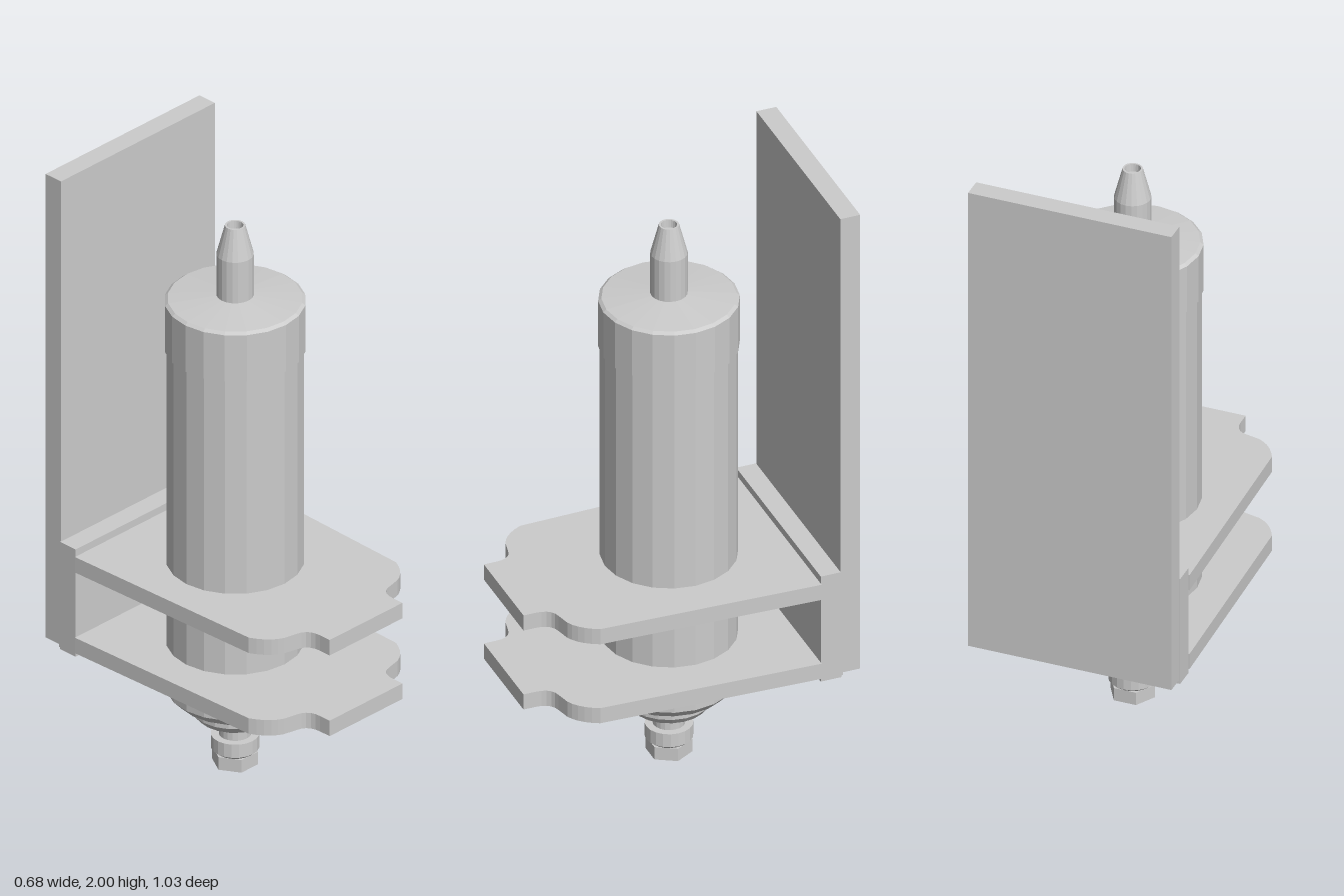
import * as THREE from 'three';

const material = new THREE.MeshStandardMaterial({ color: 0xcccccc, flatShading: true });

function add(parent, name, geometry, x = 0, y = 0, z = 0) {
  const mesh = new THREE.Mesh(geometry, material);
  mesh.name = name;
  mesh.position.set(x, y, z);
  parent.add(mesh);
  return mesh;
}

// Profile of [radius, height] pairs, listed from bottom to top
const lathe = (profile, sides = 20) =>
  new THREE.LatheGeometry(profile.map(([r, y]) => new THREE.Vector2(r, y)), sides);

// Tapered shelf with rounded shoulders and a narrow front tab
function shelfGeometry(thickness) {
  const s = new THREE.Shape();
  s.moveTo(-0.34, -0.385);
  s.lineTo(0.34, -0.385);
  s.lineTo(0.318, 0.33);
  s.quadraticCurveTo(0.29, 0.39, 0.245, 0.408);
  s.lineTo(0.2, 0.418);
  s.quadraticCurveTo(0.157, 0.425, 0.157, 0.475);
  s.lineTo(0.157, 0.515);
  s.lineTo(-0.157, 0.515);
  s.lineTo(-0.157, 0.475);
  s.quadraticCurveTo(-0.157, 0.425, -0.2, 0.418);
  s.lineTo(-0.245, 0.408);
  s.quadraticCurveTo(-0.29, 0.39, -0.318, 0.33);
  s.closePath();
  const g = new THREE.ExtrudeGeometry(s, { depth: thickness, bevelEnabled: false, curveSegments: 5 });
  return g.rotateX(Math.PI / 2);
}

export function createModel() {
  const model = new THREE.Group();
  model.name = 'bracketedCartridge';

  // Wall plate, mounting block and two shelves
  const bracket = new THREE.Group();
  bracket.name = 'bracket';
  model.add(bracket);
  add(bracket, 'backPlate', new THREE.BoxGeometry(0.664, 1.62, 0.065), -0.002, 1.19, -0.4825);
  add(bracket, 'mountingBlock', new THREE.BoxGeometry(0.67, 0.375, 0.067), -0.002, 0.5535, -0.4185);
  add(bracket, 'mountingFoot', new THREE.BoxGeometry(0.664, 0.03, 0.02), -0.002, 0.385, -0.449);
  const shelf = shelfGeometry(0.054);
  add(bracket, 'upperShelf', shelf, 0, 0.716, 0);
  add(bracket, 'lowerShelf', shelf, 0, 0.434, 0);

  // Cartridge standing through the shelves
  const cartridge = new THREE.Group();
  cartridge.name = 'cartridge';
  cartridge.position.set(-0.01, 0, -0.03);
  model.add(cartridge);
  add(cartridge, 'barrel', lathe([
    [0, 0.232], [0.165, 0.232], [0.182, 0.242], [0.21, 0.272], [0.21, 1.46],
  ]));
  add(cartridge, 'topCap', lathe([
    [0.2, 1.46], [0.215, 1.46], [0.215, 1.622], [0.205, 1.63], [0.05, 1.644], [0, 1.644],
  ]));
  add(cartridge, 'nozzle', lathe([
    [0.057, 1.64], [0.057, 1.785], [0.031, 1.885], [0.025, 1.885], [0.023, 1.86], [0, 1.86],
  ]));
  add(cartridge, 'bottomCollar', lathe([
    [0, 0.177], [0.118, 0.177], [0.136, 0.2], [0.136, 0.225], [0.12, 0.24],
  ]));
  add(cartridge, 'stem', new THREE.CylinderGeometry(0.05, 0.05, 0.1, 20), 0, 0.135, 0);
  add(cartridge, 'lockRing', lathe([
    [0, 0.052], [0.06, 0.052], [0.074, 0.064], [0.074, 0.11], [0, 0.11],
  ]));

  // Hexagonal end fitting with a small port underneath
  const hex = new THREE.Shape();
  for (let i = 0; i < 6; i++) {
    const a = (i * Math.PI) / 3;
    hex[i ? 'lineTo' : 'moveTo'](0.072 * Math.cos(a), 0.072 * Math.sin(a));
  }
  hex.closePath();
  hex.holes.push(new THREE.Path().absarc(0, 0, 0.015, 0, Math.PI * 2, true));
  const nut = new THREE.ExtrudeGeometry(hex, { depth: 0.044, bevelEnabled: false, curveSegments: 10 });
  add(cartridge, 'hexNut', nut.rotateX(Math.PI / 2), 0, 0.054, 0);
  add(cartridge, 'portRim', lathe([
    [0.015, 0.03], [0.015, 0], [0.045, 0], [0.05, 0.012],
  ]));
  return model;
}
